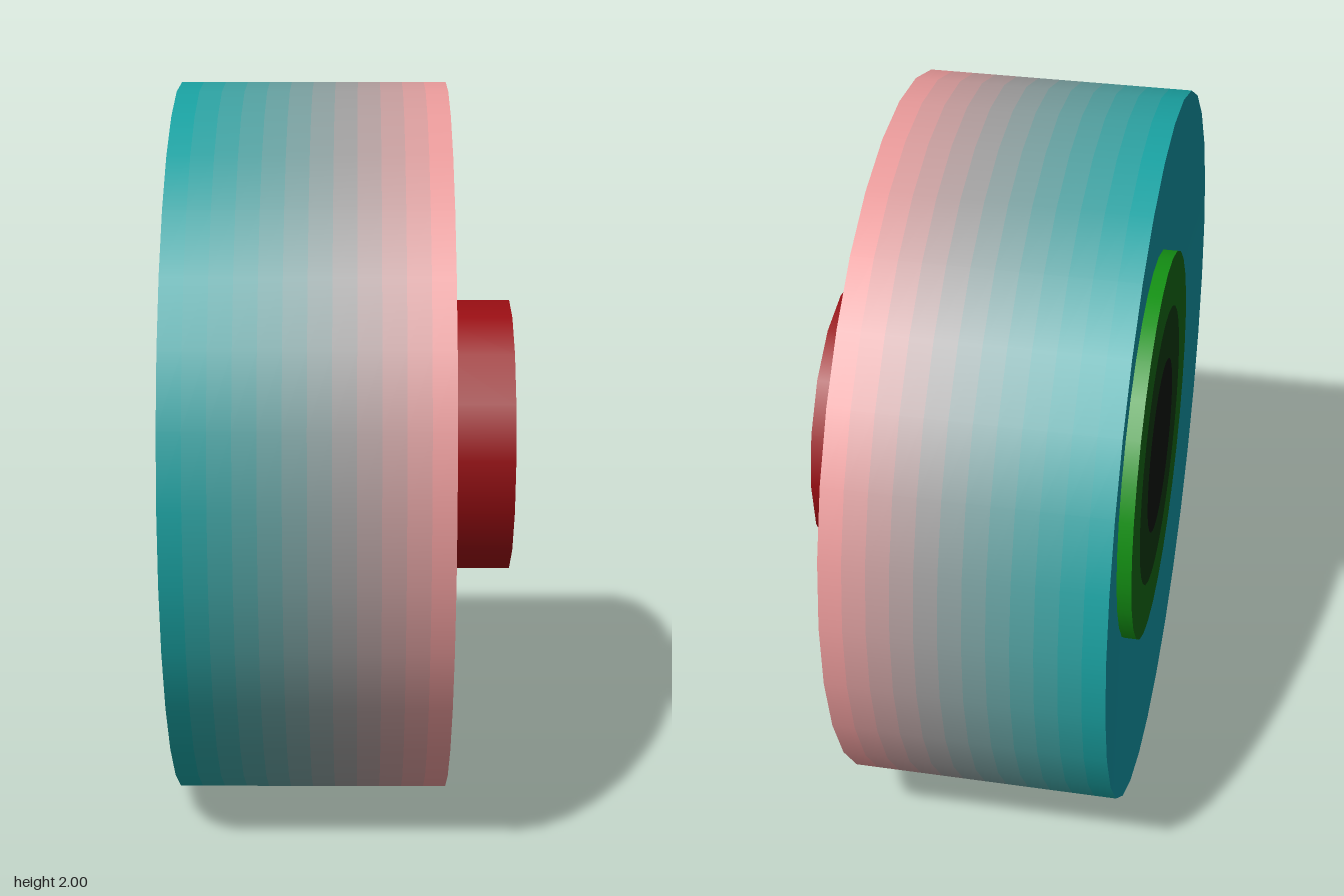
import * as THREE from 'three';

// Surface of revolution about the x axis; each point is [radius, x]
function ring(name, points, color, sides = 32) {
  const profile = points.map(([r, x]) => new THREE.Vector2(r, x));
  const geometry = new THREE.LatheGeometry(profile, sides).rotateZ(-Math.PI / 2);
  const mesh = new THREE.Mesh(geometry, new THREE.MeshStandardMaterial({ color }));
  mesh.name = name;
  return mesh;
}

// Solid disc lying along the x axis
function disc(name, radius, x0, x1, color, sides) {
  const geometry = new THREE.CylinderGeometry(radius, radius, x1 - x0, sides)
    .rotateZ(-Math.PI / 2).translate((x0 + x1) / 2, 0, 0);
  const mesh = new THREE.Mesh(geometry, new THREE.MeshStandardMaterial({ color }));
  mesh.name = name;
  return mesh;
}

export function createModel() {
  const model = new THREE.Group();
  model.name = 'wheel';
  const inner = -0.46, outer = 0.275, dish = 0.04, discRadius = 0.555;

  // Tread, fading from teal to pink across its width
  const tread = new THREE.Group();
  tread.name = 'tread';
  const teal = new THREE.Color(0x10a0a0), pink = new THREE.Color(0xf09898);
  const bands = 12, width = (outer - inner) / bands;
  for (let i = 0; i < bands; i++) {
    const x = inner + i * width;
    // Blend in display space
    const color = teal.clone().convertLinearToSRGB()
      .lerp(pink.clone().convertLinearToSRGB(), (i + 0.5) / bands).convertSRGBToLinear();
    tread.add(ring('treadBand', [[1, x], [1, x + width]], color));
  }
  model.add(tread);

  // Sidewalls, sloping inwards towards the hub discs
  const slope = (r) => dish * (1 - r) / (1 - discRadius);
  const lip = 0.6;
  model.add(
    ring('outerSidewall', [[1, outer], [0.8, outer - slope(0.8)]], 0xe48a8e),
    ring('outerSidewallInner', [[0.8, outer - slope(0.8)], [lip, outer - slope(lip)]], 0xdc7090),
    ring('outerLip', [[lip, outer - slope(lip)], [discRadius, outer - dish]], 0xe07828),
    ring('innerSidewall', [[discRadius, inner + dish], [1, inner]], 0x108a98),
  );

  // Hub discs, flush with the tyre edges
  model.add(
    disc('outerHubDisc', discRadius, outer - dish - 0.02, outer, 0x93700f, 32),
    ring('innerHubDiscEdge', [[discRadius, inner], [discRadius, inner + dish + 0.02]], 0x149014),
    ring('innerHubDiscRim', [[0.4, inner], [discRadius, inner]], 0x126012),
    ring('innerHubDiscMiddle', [[0.25, inner], [0.4, inner]], 0x0c340c),
    ring('innerHubDiscCentre', [[0, inner], [0.25, inner]], 0x0e120e),
  );

  // Axle cap
  model.add(disc('axleCap', 0.388, outer - 0.02, 0.46, 0x970d12, 16));

  model.position.y = 1;
  const root = new THREE.Group();
  root.add(model);
  return root;
}
